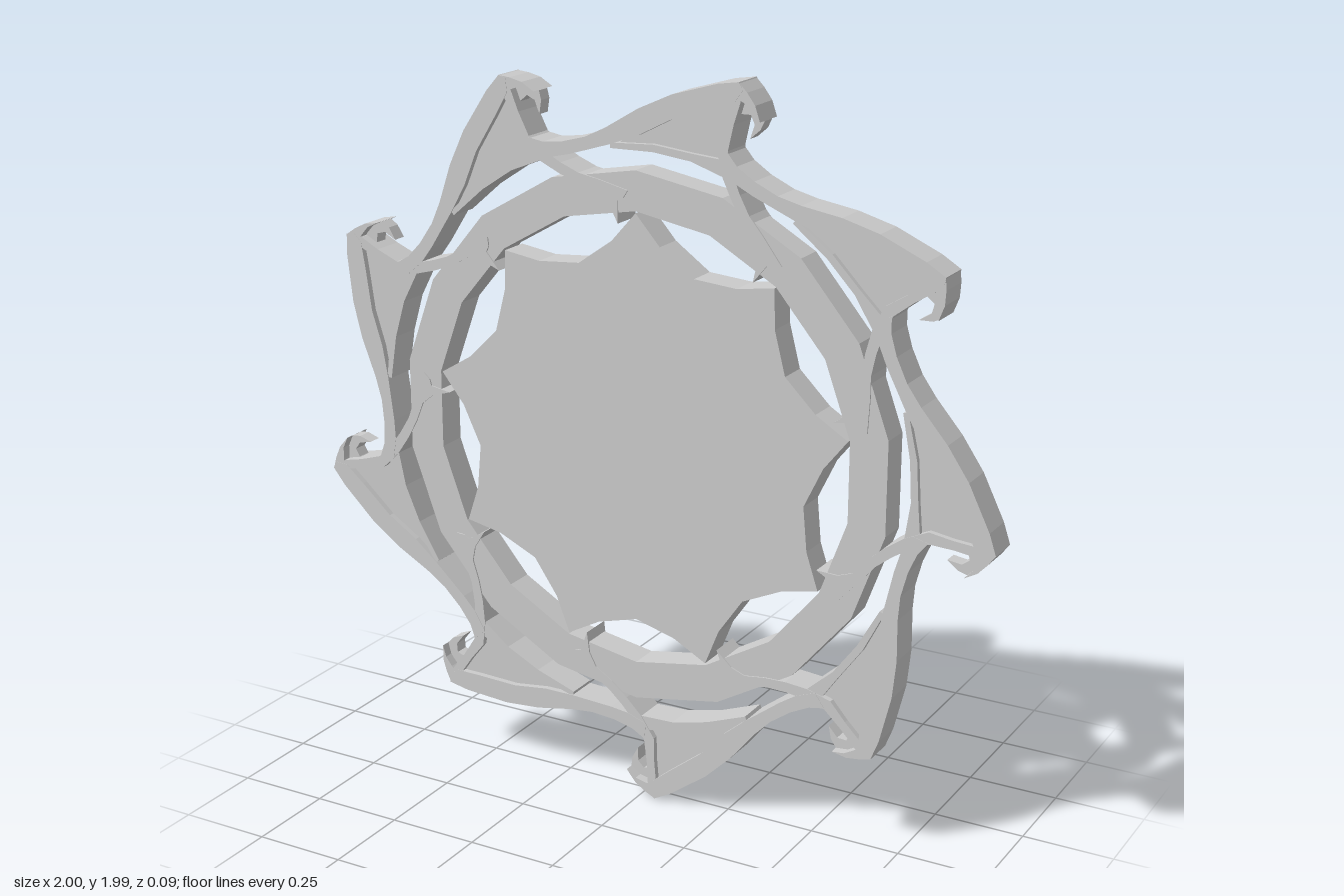
import * as THREE from 'three';

const material = new THREE.MeshStandardMaterial({ color: 0xcccccc, flatShading: true });
const DEG = Math.PI / 180;

// Polar point: [angle in degrees, radius]
const polar = ([a, r]) => new THREE.Vector2(r * Math.cos(a * DEG), r * Math.sin(a * DEG));

// Flat plate cut from a polar outline, centred on z = 0
function plate(name, outline, halfDepth, hole) {
  const shape = new THREE.Shape(outline.map(polar));
  if (hole) shape.holes.push(new THREE.Path(hole.map(polar)));
  const geo = new THREE.ExtrudeGeometry(shape, { depth: halfDepth * 2, bevelEnabled: false });
  geo.translate(0, 0, -halfDepth);
  const mesh = new THREE.Mesh(geo, material);
  mesh.name = name;
  return mesh;
}

const circle = (r, n) => Array.from({ length: n }, (_, i) => [90 + (i * 360) / n, r]);

// One blade; angles are measured from its tip
function createBlade() {
  const blade = new THREE.Group();
  // Long trailing rim running down to the next blade's neck
  blade.add(plate('bladeRim', [
    [0, 1.015], [-0.9, 1.0], [-0.3, 0.965], [3.2, 0.925], [10, 0.868], [16, 0.815], [22, 0.788],
    [31, 0.772], [35, 0.775], [39, 0.795], [38.6, 0.84], [36, 0.818], [32, 0.807],
    [27, 0.81], [22.6, 0.83], [16, 0.883], [10.2, 0.932], [3.1, 0.991],
  ], 0.047));
  // Curved spoke from the tip, across the ring, to the forked barb
  blade.add(plate('bladeSpoke', [
    [0, 1.0], [-1.1, 0.97], [-1.1, 0.91], [-1.5, 0.843], [-3.2, 0.803], [-6.5, 0.756], [-10, 0.722],
    [-14.5, 0.7], [-21.5, 0.672], [-20.3, 0.652], [-18.8, 0.645], [-18.4, 0.585],
    [-16.4, 0.64], [-14, 0.672], [-9.5, 0.696], [-5.5, 0.73], [-2, 0.775],
    [0.6, 0.835], [0.4, 0.9], [0.5, 0.97],
  ], 0.046));
  // Inner rib closing the triangle
  blade.add(plate('bladeRib', [
    [-2, 0.775], [5, 0.78], [13, 0.778], [22, 0.778], [22, 0.792], [13, 0.797], [5, 0.8], [-1, 0.815],
  ], 0.044));
  // Recessed web filling the triangle
  blade.add(plate('bladeWeb', [
    [0, 0.98], [-0.2, 0.9], [-0.5, 0.8], [5, 0.788], [13, 0.786], [21, 0.785], [16, 0.84], [10, 0.89], [3.2, 0.94],
  ], 0.03));
  // Narrow claw hooking back below the tip
  blade.add(plate('claw', [
    [0.3, 1.0], [-1.2, 0.995], [-3.4, 0.976], [-5, 0.945], [-4.9, 0.92], [-3.8, 0.887],
    [-3.7, 0.925], [-2.6, 0.943], [-1.2, 0.935], [0.2, 0.92],
  ], 0.02));
  // Full width cap on the claw
  blade.add(plate('clawCap', [
    [0, 1.014], [-1.6, 0.999], [-3.4, 0.978], [-5, 0.946], [-3.3, 0.965], [-1.5, 0.972], [0, 0.975],
  ], 0.046));
  return blade;
}

export function createModel() {
  const group = new THREE.Group();
  const wheel = new THREE.Group();
  wheel.name = 'wheel';
  wheel.position.set(-0.013, 1.015, 0);
  group.add(wheel);

  // Nine-pointed scalloped disc
  const star = [];
  for (let i = 0; i < 9; i++) {
    const a = 90 + i * 40;
    star.push([a, 0.615], [a + 7.5, 0.54], [a + 20, 0.495], [a + 32.5, 0.54]);
  }
  wheel.add(plate('scallopedDisc', star, 0.042));

  // Faceted ring
  wheel.add(plate('ring', circle(0.725, 18), 0.042, circle(0.62, 18)));

  // Nine blades around the ring
  for (let i = 0; i < 9; i++) {
    const blade = createBlade();
    blade.name = 'blade' + (i + 1);
    blade.rotation.z = (-86.7 + i * 40) * DEG;
    wheel.add(blade);
  }
  return group;
}
